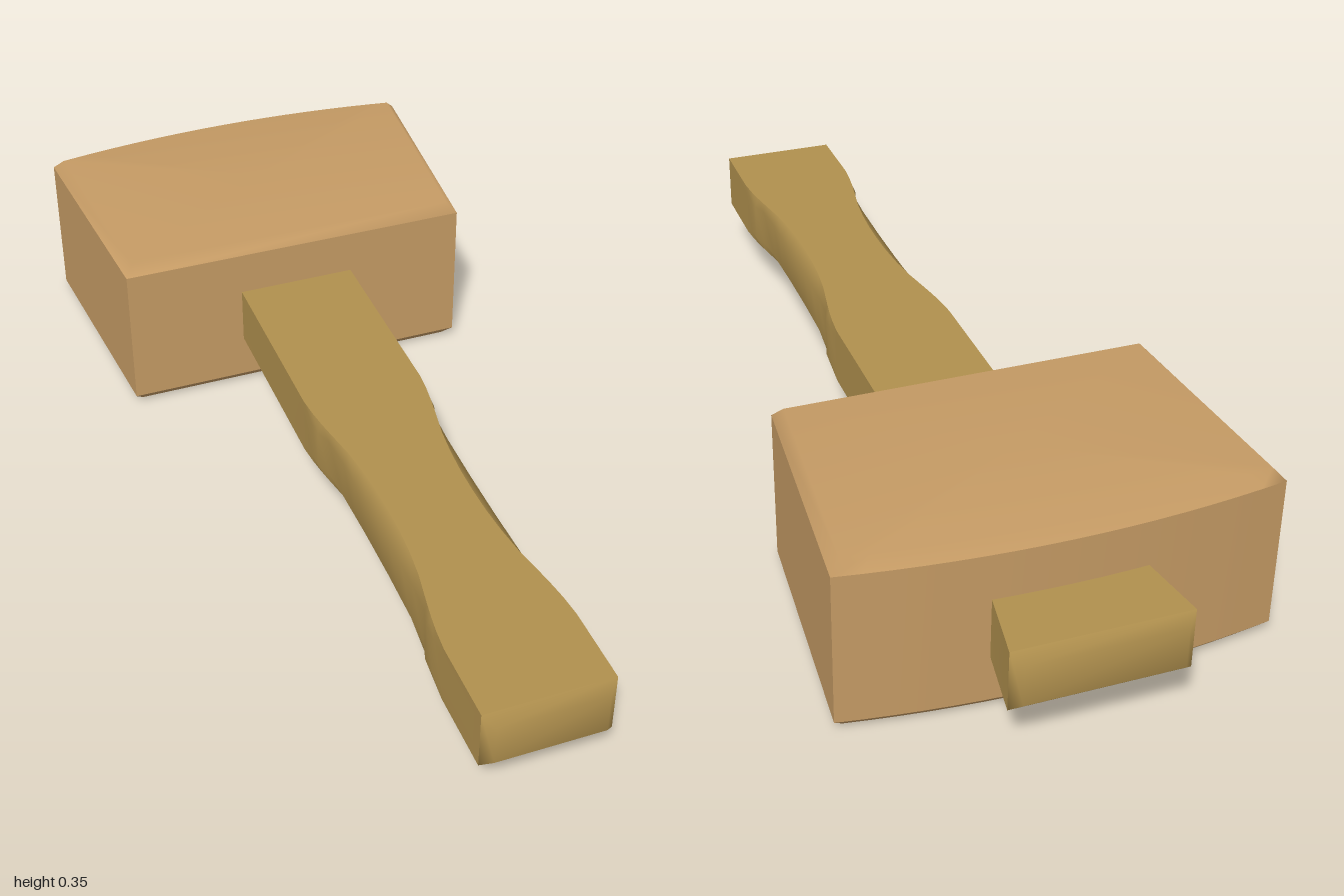
import * as THREE from 'three';
import { mergeGeometries } from 'three/addons/utils/BufferGeometryUtils.js';

// Smooth-shaded grid of quads through rows of points; separate patches keep sharp edges
function patch(rows, closed = false) {
  const n = rows[0].length, index = [];
  for (let i = 0; i < rows.length - 1; i++) {
    for (let j = 0; j < (closed ? n : n - 1); j++) {
      const k = (j + 1) % n;
      const a = i * n + j, b = i * n + k, c = b + n, d = a + n;
      index.push(a, b, c, a, c, d);
    }
  }
  const geometry = new THREE.BufferGeometry();
  geometry.setAttribute('position', new THREE.Float32BufferAttribute(rows.flat(2), 3));
  geometry.setIndex(index);
  geometry.computeVertexNormals();
  return geometry;
}

// Bevelled cap: outer ring, inset ring, then a fan to the centre
function cap(outer, inset, centre, flip = false) {
  const rows = [outer, inset, outer.map(() => centre)];
  return patch(flip ? rows.map((r) => [...r].reverse()) : rows, true);
}

function makeMesh(name, parts, color) {
  const mesh = new THREE.Mesh(mergeGeometries(parts), new THREE.MeshStandardMaterial({ color }));
  mesh.name = name;
  return mesh;
}

// Wedge-shaped block with a bowed back and bevelled top and bottom
function createHead() {
  const height = 0.355, bevel = 0.022, midZ = -0.585, steps = 16;
  const plan = [[-0.375, -0.318], [0.375, -0.318]];
  for (let i = 0; i <= steps; i++) {
    const t = 1 - (2 * i) / steps;
    plan.push([0.415 * t, -0.85 + 0.035 * t * t]);
  }
  const ring = (y) => plan.map(([x, z]) => [x, y, z]);
  const insetRing = (y) => plan.map(([x, z]) => [x * 0.95, y, midZ + (z - midZ) * 0.925]);
  const low = ring(bevel), high = ring(height - bevel);
  const last = plan.length - 1;
  const wall = (ids) => patch([ids.map((i) => low[i]), ids.map((i) => high[i])]);
  const backIds = plan.map((_, i) => i).slice(2);
  return makeMesh('malletHead', [
    wall([0, 1]), wall([1, 2]), wall(backIds), wall([last, 0]),
    cap(high, insetRing(height), [0, height, midZ]),
    cap(low, insetRing(0), [0, 0, midZ], true),
  ], 0xc49a64);
}

// Rectangular shaft with a flared tenon and a scooped grip
function createHandle() {
  const y0 = 0.117, y1 = 0.24, b = 0.02, endZ = 0.98, gripZ = 0.455;
  // Distance from grip centre, half width at the edges, half width at mid height
  const scoop = [
    [0, 0.085, 0.107], [0.06, 0.086, 0.107], [0.12, 0.09, 0.108], [0.18, 0.097, 0.109],
    [0.25, 0.11, 0.113], [0.285, 0.116, 0.124], [0.32, 0.121, 0.125], [0.365, 0.125, 0.125],
  ];
  const sections = [
    [-endZ, 0.167, 0.167], [-0.73, 0.125, 0.125],
    ...scoop.slice(1).reverse().map(([d, e, m]) => [gripZ - d, e, m]),
    ...scoop.map(([d, e, m]) => [gripZ + d, e, m]),
    [endZ, 0.125, 0.125],
  ];
  const rings = sections.map(([z, e, m]) => [
    [e, y0, z], [m, y0 + b, z], [m, y1 - b, z], [e, y1, z],
    [-e, y1, z], [-m, y1 - b, z], [-m, y0 + b, z], [-e, y0, z],
  ]);
  const faces = [[0, 1, 2, 3], [3, 4], [4, 5, 6, 7], [7, 0]];
  const parts = faces.map((ids) => patch(rings.map((r) => ids.map((i) => r[i]))));

  // Bevelled end faces
  const rect = (w, inset, z) => [
    [w - inset, y0 + inset, z], [w - inset, y1 - inset, z],
    [inset - w, y1 - inset, z], [inset - w, y0 + inset, z],
  ];
  for (const [side, w] of [[1, 0.125], [-1, 0.167]]) {
    parts.push(cap(rect(w, 0, side * endZ), rect(w, b, side), [0, (y0 + y1) / 2, side], side < 0));
  }
  return makeMesh('handle', parts, 0xb0904e);
}

export function createModel() {
  const model = new THREE.Group();
  model.name = 'woodenMallet';
  model.add(createHead(), createHandle());
  return model;
}
